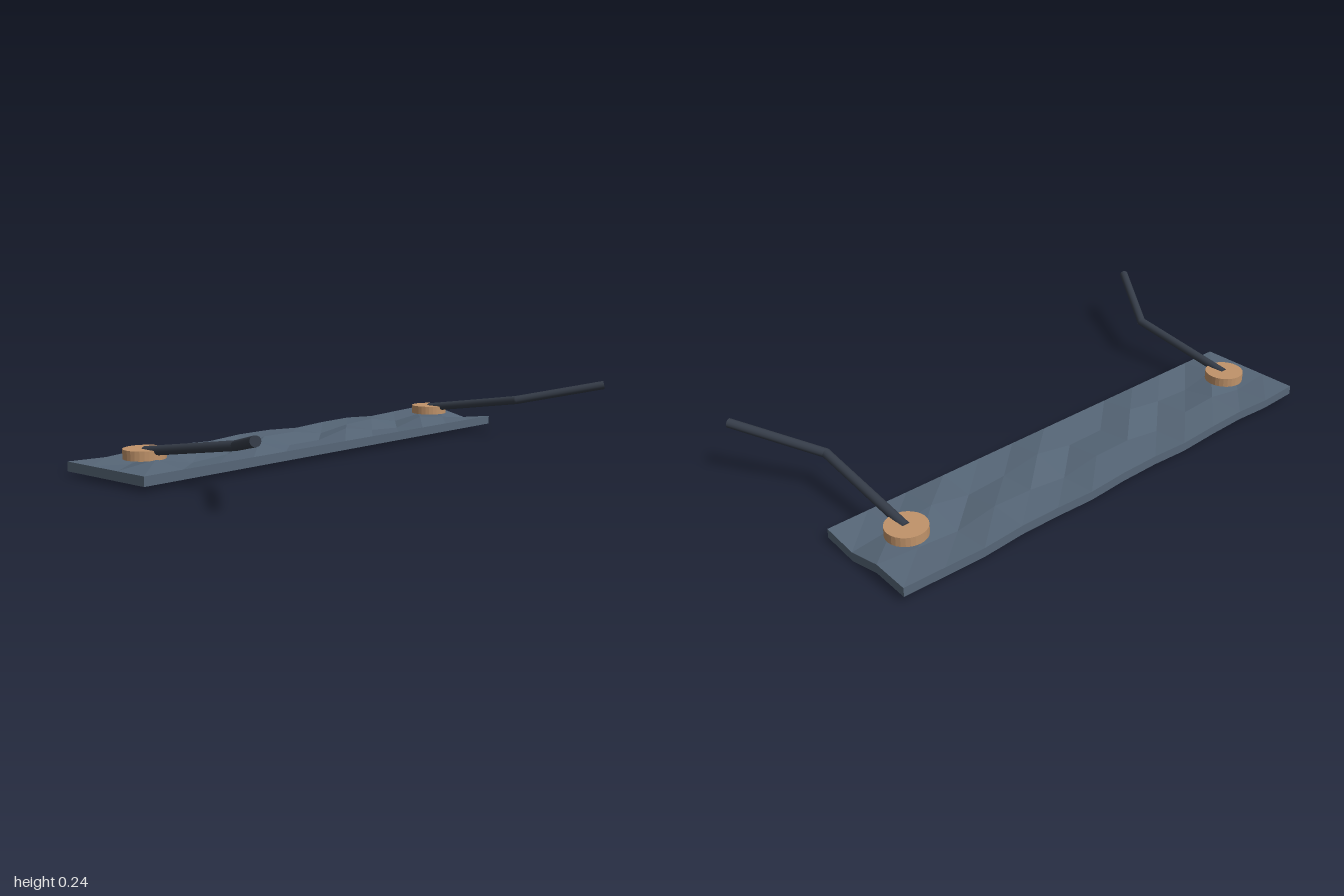
import * as THREE from 'three';

const slate = new THREE.MeshStandardMaterial({ color: 0x566677, flatShading: true });
slate.name = 'slate';
const copper = new THREE.MeshStandardMaterial({ color: 0xc0936a, flatShading: true });
copper.name = 'copper';
const charcoal = new THREE.MeshStandardMaterial({ color: 0x353c48 });
charcoal.name = 'charcoal';

// Flat slab whose inner grid points ripple up and down
function makeSlab() {
  const cols = 12, rows = 3, width = 1.904, depth = 0.414;
  const geo = new THREE.BoxGeometry(width, 0.034, depth, cols, 1, rows);
  const pos = geo.attributes.position;
  for (let n = 0; n < pos.count; n++) {
    const i = Math.round((pos.getX(n) / width + 0.5) * cols);
    const j = Math.round((0.5 - pos.getZ(n) / depth) * rows);
    pos.setY(n, pos.getY(n) + 0.0205 * Math.sin(2 * i) * Math.sin(2 * j));
  }
  geo.computeVertexNormals();
  const slab = new THREE.Mesh(geo, slate);
  slab.name = 'slab';
  slab.position.set(0, 0.037, -0.28);
  return slab;
}

// Straight round bar between two points
function bar(a, b, radius, name) {
  const dir = b.clone().sub(a);
  const mesh = new THREE.Mesh(new THREE.CylinderGeometry(radius, radius, dir.length(), 14), charcoal);
  mesh.name = name;
  mesh.position.copy(a).add(b).multiplyScalar(0.5);
  mesh.quaternion.setFromUnitVectors(new THREE.Vector3(0, 1, 0), dir.normalize());
  return mesh;
}

// Round pivot with a bent arm reaching forward and outward
function makeArm(side) {
  const arm = new THREE.Group();
  arm.name = side > 0 ? 'leftArm' : 'rightArm';
  const pivot = new THREE.Mesh(new THREE.CylinderGeometry(0.074, 0.074, 0.034, 28), copper);
  pivot.name = 'pivot';
  pivot.position.set(side * 0.786, 0.085, -0.28);

  const start = new THREE.Vector3(side * 0.786, 0.092, -0.278);
  const elbow = new THREE.Vector3(side * 0.786, 0.159, 0.175);
  const tip = new THREE.Vector3(side * 0.984, 0.227, 0.472);
  const r = 0.017;
  const joint = new THREE.Mesh(new THREE.SphereGeometry(r, 14, 10), charcoal);
  joint.name = 'elbow';
  joint.position.copy(elbow);
  arm.add(pivot, bar(start, elbow, r, 'upperArm'), joint, bar(elbow, tip, r, 'forearm'));
  return arm;
}

export function createModel() {
  const model = new THREE.Group();
  model.name = 'slabWithArms';
  model.add(makeSlab());
  for (const side of [-1, 1]) model.add(makeArm(side));
  return model;
}
